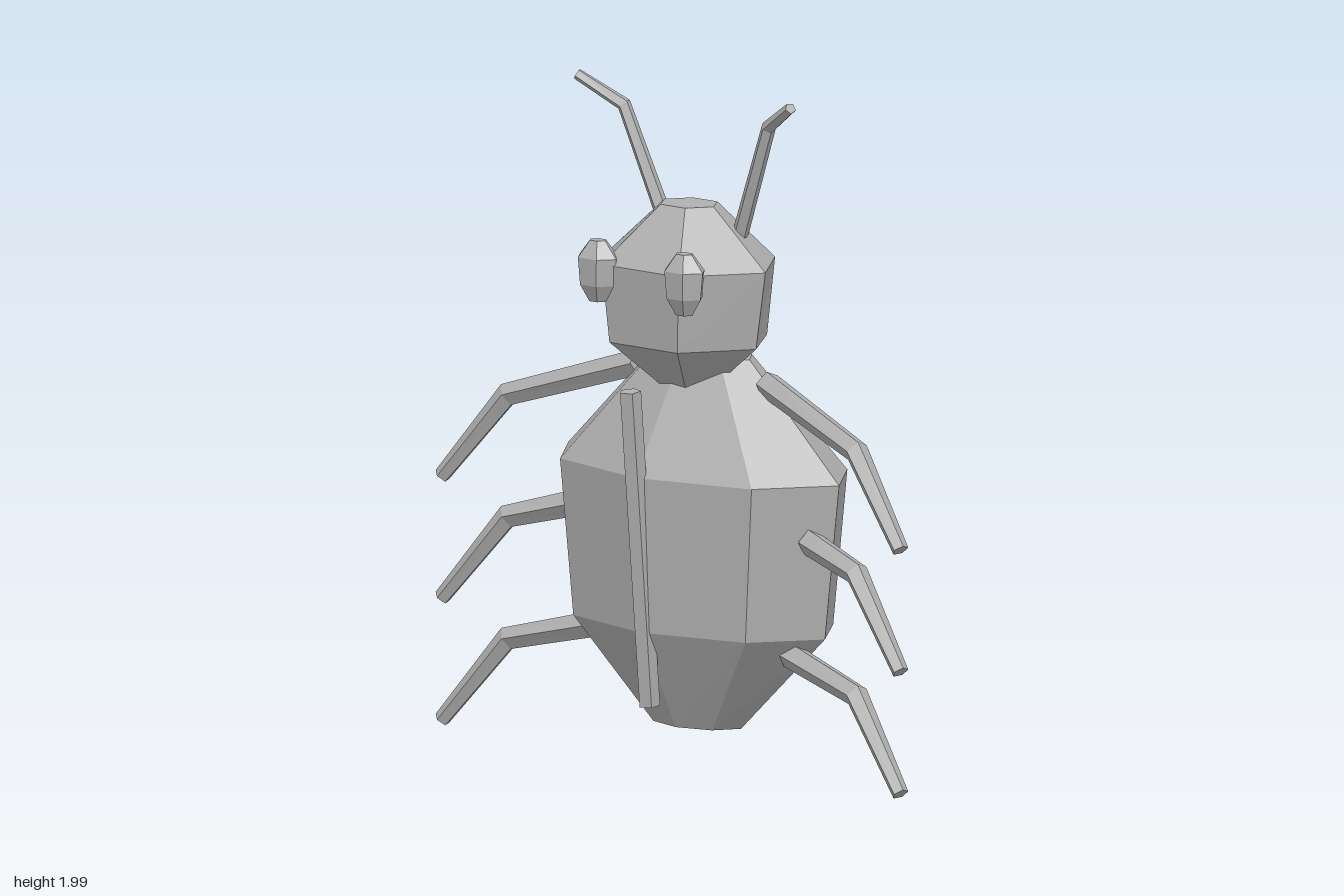
import * as THREE from 'three';

// Closed flat-faced skin through rings of points (each ring runs anticlockwise about the path)
function loft(rings) {
  const pos = [];
  const tri = (...pts) => pts.forEach((p) => pos.push(p.x, p.y, p.z));
  const n = rings[0].length;
  for (let i = 0; i < rings.length - 1; i++) {
    for (let j = 0; j < n; j++) {
      const k = (j + 1) % n;
      const a = rings[i][j], b = rings[i][k], c = rings[i + 1][k], d = rings[i + 1][j];
      tri(a, b, c);
      tri(a, c, d);
    }
  }
  const first = rings[0], last = rings[rings.length - 1];
  for (let j = 1; j < n - 1; j++) {
    tri(first[0], first[j + 1], first[j]);
    tri(last[0], last[j], last[j + 1]);
  }
  const geo = new THREE.BufferGeometry();
  geo.setAttribute('position', new THREE.Float32BufferAttribute(pos, 3));
  geo.computeVertexNormals();
  return geo;
}

// Faceted blob from levels [y, radiusX, radiusZ, centreZ], bottom to top
function blob(levels, sides, turn = 0) {
  return loft(levels.map(([y, rx, rz, cz]) =>
    Array.from({ length: sides }, (_, j) => {
      const a = turn + (j / sides) * Math.PI * 2;
      return new THREE.Vector3(Math.sin(a) * rx, y, cz + Math.cos(a) * rz);
    })));
}

// Five-sided jointed rod with mitred joints, from points [x, y, z, radius]
function rod(points, reference) {
  const p = points.map(([x, y, z]) => new THREE.Vector3(x, y, z));
  return loft(p.map((c, i) => {
    const t = new THREE.Vector3();
    if (i > 0) t.add(c.clone().sub(p[i - 1]).normalize());
    if (i < p.length - 1) t.add(p[i + 1].clone().sub(c).normalize());
    t.normalize();
    const u = reference.clone().addScaledVector(t, -reference.dot(t)).normalize();
    const v = t.clone().cross(u);
    return Array.from({ length: 5 }, (_, j) => {
      const a = (j / 5) * Math.PI * 2, r = points[i][3];
      return c.clone().addScaledVector(u, Math.cos(a) * r).addScaledVector(v, Math.sin(a) * r);
    });
  }));
}

export function createModel() {
  const model = new THREE.Group();
  model.name = 'beetle';
  const grey = new THREE.MeshStandardMaterial({ color: 0xb0b0b0, flatShading: true });
  grey.name = 'grey';
  const add = (name, geo) => {
    const mesh = new THREE.Mesh(geo, grey);
    mesh.name = name;
    model.add(mesh);
    return mesh;
  };
  const forward = new THREE.Vector3(0, 0, 1);

  // Eight-sided abdomen and six-sided head
  add('body', blob([
    [0.11, 0.16, 0.105, -0.007],
    [0.41, 0.47, 0.273, -0.023],
    [0.87, 0.523, 0.298, -0.025],
    [1.2, 0.18, 0.1, -0.022],
  ], 8));
  add('head', blob([
    [1.12, 0.1, 0.08, 0.043],
    [1.25, 0.262, 0.228, 0.043],
    [1.48, 0.298, 0.245, 0.043],
    [1.65, 0.095, 0.082, 0.04],
  ], 6, Math.PI / 6));

  // Long mouth tube hanging in front of the belly
  add('proboscis', rod([[0, 1.13, 0.3, 0.033], [0, 0.19, 0.215, 0.032]], new THREE.Vector3(-1, 0, 0)));

  // Paired parts; the model's left is +x
  for (const s of [1, -1]) {
    const side = s > 0 ? 'left' : 'right';

    const eye = add(side + 'Eye', blob([
      [1.37, 0.03, 0.024, 0.25],
      [1.42, 0.062, 0.05, 0.25],
      [1.5, 0.071, 0.055, 0.25],
      [1.55, 0.028, 0.023, 0.25],
    ], 6, Math.PI / 6));
    eye.position.x = s * 0.167;

    add(side + 'Antenna', rod([
      [s * 0.143, 1.565, -0.022, 0.025],
      [s * 0.279, 1.902, 0.008, 0.022],
      [s * 0.412, 1.983, 0.062, 0.017],
    ], forward));

    // Each leg: hip position, then knee and foot dropping by the same step
    [
      ['Front', 0.25, 1.14, -0.018],
      ['Middle', 0.455, 0.705, 0.03],
      ['Back', 0.37, 0.36, 0.018],
    ].forEach(([place, x, y, z], i) => {
      add(side + place + 'Leg', rod([
        [s * x, y, z, 0.04],
        [s * 0.672, 1.005 - 0.36 * i, 0.07, 0.036],
        [s * 0.885, 0.745 - 0.36 * i, 0.118, 0.025],
      ], forward));
    });
  }
  return model;
}
